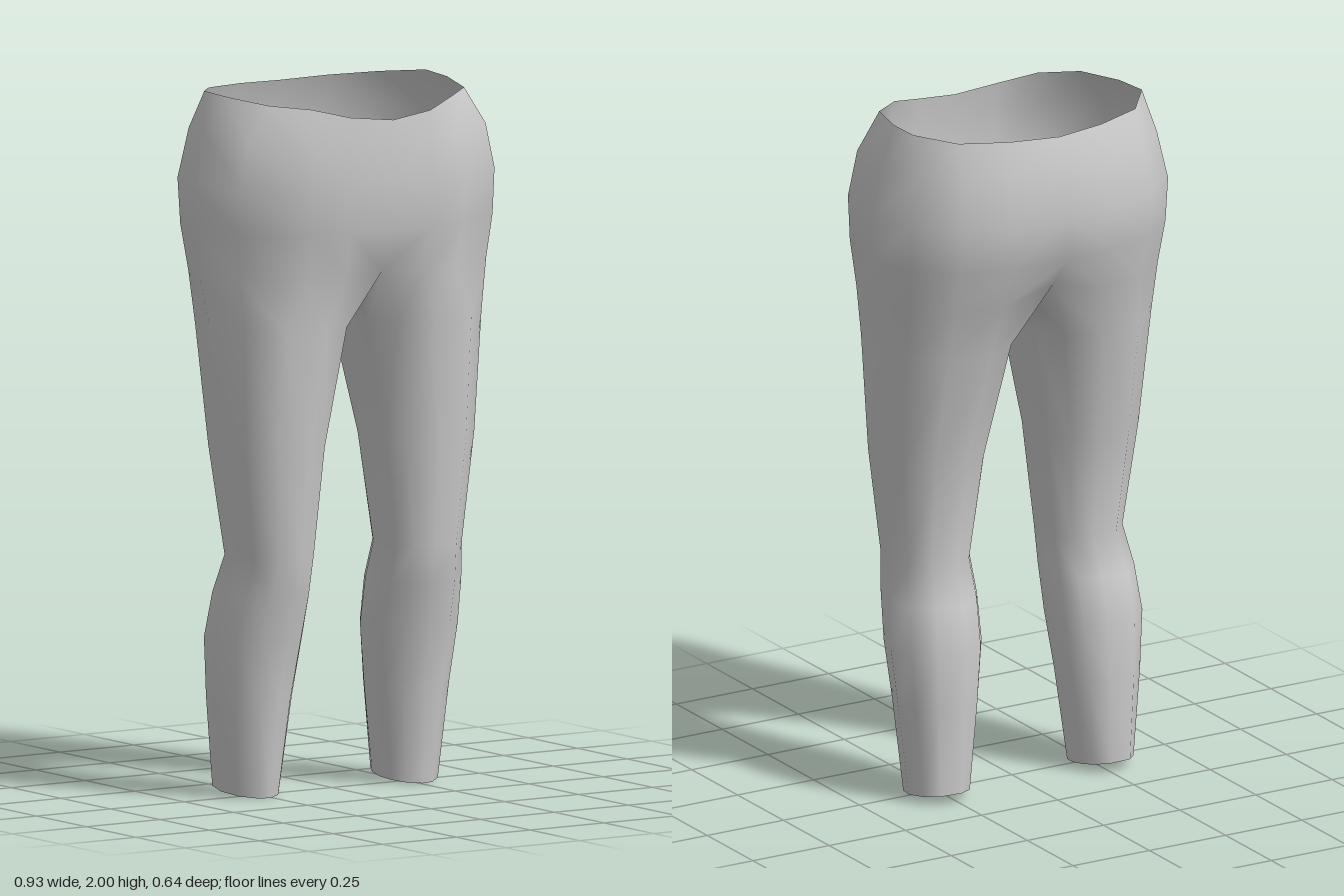
import * as THREE from 'three';
import { mergeVertices } from 'three/addons/utils/BufferGeometryUtils.js';

// Half outlines [x, z], from centre back round the side to centre front
const WAIST = [[0, -0.26], [0.15, -0.24], [0.29, -0.19], [0.375, -0.085], [0.37, 0.03], [0.33, 0.175], [0.235, 0.25], [0.135, 0.295], [0, 0.31]];
const WAIST_Y = [1.98, 1.985, 1.99, 2, 1.995, 1.985, 1.975, 1.95, 1.935];
const HIP = [[0, -0.32], [0.17, -0.297], [0.315, -0.252], [0.423, -0.153], [0.465, -0.005], [0.432, 0.18], [0.262, 0.285], [0.14, 0.308], [0, 0.318]];

// Leg corners as angles: 0 is outside, 90 front, 180 inside
const ANGLES = [-130, -100, -68, -34, 0, 34, 68, 100, 130, 155, 180, 205];

const hipRing = (y, sx, front, back, dip = 0) => HIP.map(([x, z]) =>
  [x * sx, y - dip * Math.max(0, z / 0.318), z > 0 ? z * front / 0.318 : z * back / -0.32]);

// Leg section: inner and outer x, front and back z, front and back sharpness
function legRing([y, xi, xo, front, back, pf, pb, tilt]) {
  return ANGLES.map((deg) => {
    const a = THREE.MathUtils.degToRad(deg), c = Math.cos(a), s = Math.sin(a);
    const u = Math.sign(c) * Math.abs(c) ** (s > 0.01 ? pf : pb);
    const z = (front + back) / 2 + s * (front - back) / 2;
    return [(xi + xo) / 2 + u * (xo - xi) / 2, y + tilt * (front - z) / (front - back), z];
  });
}

function pantsGeometry() {
  const pelvis = [
    WAIST.map(([x, z], i) => [x, WAIST_Y[i], z]),
    hipRing(1.89, 0.925, 0.318, -0.293, 0.02),
    hipRing(1.75, 0.995, 0.318, -0.318),
    hipRing(1.62, 0.987, 0.31, -0.3),
  ];

  // Leg opening: the side of the hip closed by the crotch seam
  const opening = hipRing(1.49, 0.962, 0.28, -0.248);
  opening[0] = [0, 1.53, -0.225];
  opening[8] = [0, 1.5, 0.255];
  opening.push([0, 1.435, 0.12], [0, 1.41, 0], [0, 1.445, -0.11]);
  pelvis.push(opening.slice(0, 9));

  const legs = [opening, ...[
    [1.34, 0.018, 0.433, 0.256, -0.192, 0.9, 0.9, 0],
    [1.0, 0.09, 0.412, 0.216, -0.122, 0.9, 0.9, 0],
    [0.69, 0.13, 0.37, 0.191, -0.076, 0.9, 0.85, 0],
    [0.58, 0.126, 0.387, 0.172, -0.12, 0.95, 0.85, 0],
    [0.45, 0.126, 0.399, 0.137, -0.143, 1, 0.85, 0],
    [0.28, 0.147, 0.384, 0.107, -0.143, 1.1, 0.8, 0],
    [0, 0.18, 0.357, 0.076, -0.136, 1.2, 0.75, 0.03],
  ].map(legRing)];

  const positions = [];
  for (const side of [1, -1]) {
    const tri = (...p) => {
      if (side < 0) p.reverse();
      p.forEach(([x, y, z]) => positions.push(side * x, y, z));
    };
    const skin = (rings, closed) => {
      for (let r = 0; r < rings.length - 1; r++) {
        const up = rings[r], low = rings[r + 1], n = up.length;
        for (let i = 0; i < (closed ? n : n - 1); i++) {
          const j = (i + 1) % n;
          tri(low[i], up[i], low[j]);
          tri(up[i], up[j], low[j]);
        }
      }
    };
    skin(pelvis, false);
    skin(legs, true);
  }

  // Weld both halves so the shading runs smoothly across the seam
  const raw = new THREE.BufferGeometry();
  raw.setAttribute('position', new THREE.Float32BufferAttribute(positions, 3));
  const geometry = mergeVertices(raw, 1e-4);
  geometry.computeVertexNormals();
  return geometry;
}

export function createModel() {
  const group = new THREE.Group();
  group.name = 'trousers';
  const cloth = new THREE.MeshStandardMaterial({ color: 0xcccccc, side: THREE.DoubleSide });
  const pants = new THREE.Mesh(pantsGeometry(), cloth);
  pants.name = 'pelvisAndLegs';
  group.add(pants);
  return group;
}
